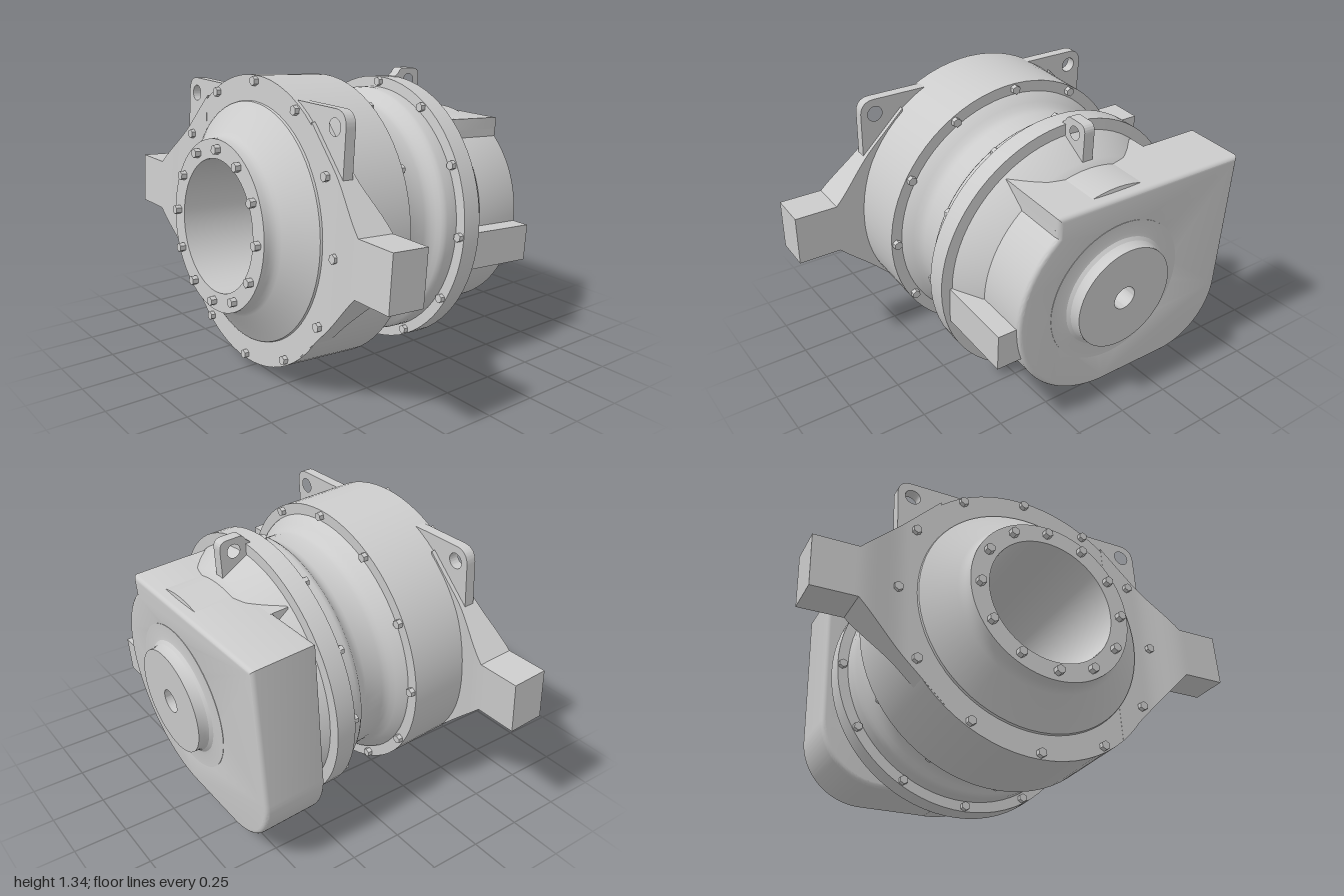
import * as THREE from 'three';
import { toCreasedNormals } from 'three/addons/utils/BufferGeometryUtils.js';

const material = new THREE.MeshStandardMaterial({ color: 0xcccccc });

function addMesh(parent, name, geometry, crease = 0.5) {
  const mesh = new THREE.Mesh(toCreasedNormals(geometry, crease), material);
  mesh.name = name;
  parent.add(mesh);
  return mesh;
}

function box(x0, x1, y0, y1, z0, z1) {
  return new THREE.BoxGeometry(x1 - x0, y1 - y0, z1 - z0)
    .translate((x0 + x1) / 2, (y0 + y1) / 2, (z0 + z1) / 2);
}

function circleHole(x, y, r) {
  return new THREE.Path().absarc(x, y, r, 0, Math.PI * 2, true);
}

// Ring of hex bolt heads around the main axis
function addBolts(parent, name, radius, z, size, height) {
  const ring = new THREE.Group();
  ring.name = name;
  for (let i = 0; i < 12; i++) {
    const a = i * Math.PI / 6;
    const head = new THREE.CylinderGeometry(size, size, height, 6).rotateX(Math.PI / 2);
    addMesh(ring, 'boltHead', head).position.set(radius * Math.sin(a), radius * Math.cos(a), z);
  }
  parent.add(ring);
}

export function createModel() {
  const model = new THREE.Group();
  model.name = 'gearHousing';
  // The main axis runs along z and is tipped up slightly at the front
  const body = new THREE.Group();
  body.name = 'tiltedBody';
  body.rotation.x = -0.0716;
  body.position.y = 0.654;
  model.add(body);

  // Turned casing: rear boss, cone, rear flange, neck, drum, nose, bore (radius, z)
  const profile = [
    [0.055, -0.718], [0.246, -0.718], [0.247, -0.69], [0.254, -0.672], [0.268, -0.66], [0.285, -0.657],
    [0.345, -0.657], [0.345, -0.63], [0.49, -0.6], [0.49, -0.42], [0.515, -0.4], [0.585, -0.273],
    [0.637, -0.271], [0.637, -0.18], [0.588, -0.178], [0.588, -0.125], [0.584, -0.11], [0.574, -0.097],
    [0.558, -0.084], [0.545, -0.068], [0.537, -0.052], [0.533, -0.035], [0.533, 0.05], [0.537, 0.068],
    [0.546, 0.085], [0.562, 0.105], [0.594, 0.138], [0.598, 0.146],
    [0.65, 0.146], [0.65, 0.514], [0.538, 0.514], [0.535, 0.525], [0.405, 0.622], [0.392, 0.635],
    [0.384, 0.65], [0.38, 0.668], [0.38, 0.69], [0.295, 0.69], [0.295, -0.55], [0.055, -0.55], [0.055, -0.718],
  ].map(([r, z]) => new THREE.Vector2(r, z));
  addMesh(body, 'turnedCasing', new THREE.LatheGeometry(profile, 72).rotateX(Math.PI / 2), 0.45);

  // Rear housing: round on one side, squared off on the other
  const rear = new THREE.Shape();
  rear.moveTo(0.335, 0.473);
  rear.lineTo(-0.645, 0.473);
  rear.lineTo(-0.645, -0.207);
  rear.absarc(-0.345, -0.207, 0.3, Math.PI, Math.PI * 1.5, false);
  rear.lineTo(0, -0.507);
  rear.absarc(0, 0, 0.508, -Math.PI / 2, 0.855, false);
  rear.closePath();
  rear.holes.push(circleHole(0, 0, 0.305));
  const rearGeometry = new THREE.ExtrudeGeometry(rear, {
    depth: 0.26, curveSegments: 32, bevelThickness: 0.02, bevelSize: 0.02, bevelOffset: -0.02, bevelSegments: 4,
  }).translate(0, 0, -0.635);
  addMesh(body, 'rearHousing', rearGeometry);
  addMesh(body, 'rearTopPad', box(-0.345, 0.334, 0.38, 0.4725, -0.63, -0.285));
  addMesh(body, 'sideMount', box(0.4, 0.595, -0.17, 0, -0.642, -0.272));

  // Support arms: tangent webs that thicken into square ends
  const arms = new THREE.Group();
  arms.name = 'supportArms';
  arms.position.y = 0.01;
  body.add(arms);
  for (const side of [1, -1]) {
    const geometry = new THREE.BoxGeometry(1, 1, 1, 29, 1, 1);
    const p = geometry.attributes.position;
    for (let i = 0; i < p.count; i++) {
      const x = 0.42 + (p.getX(i) + 0.5) * 0.58;
      const height = Math.max(0.12, 0.92 - x);
      const k = THREE.MathUtils.smoothstep(x, 0.58, 0.81);
      const z = p.getZ(i) > 0 ? 0.515 + 0.036 * k : 0.43 - 0.05 * k;
      p.setXYZ(i, x, Math.sign(p.getY(i)) * height, z);
    }
    const arm = addMesh(arms, side > 0 ? 'leftArm' : 'rightArm', geometry, 0.4);
    if (side < 0) arm.rotation.z = Math.PI;
  }

  // Front lifting lugs
  for (const side of [1, -1]) {
    const lug = new THREE.Shape();
    lug.moveTo(side * 0.25, 0.58);
    lug.lineTo(side * 0.55, 0.58);
    lug.quadraticCurveTo(side * 0.62, 0.58, side * 0.62, 0.51);
    lug.lineTo(side * 0.62, 0.29);
    lug.lineTo(side * 0.45, 0.29);
    lug.closePath();
    lug.holes.push(circleHole(side * 0.55, 0.508, 0.036));
    const geometry = new THREE.ExtrudeGeometry(lug, { depth: 0.048, bevelEnabled: false, curveSegments: 20 });
    addMesh(body, side > 0 ? 'leftLug' : 'rightLug', geometry.translate(0, 0, 0.449));
  }

  // Rear lifting lug, drawn in the z-y plane (shape x = -z)
  const lug = new THREE.Shape();
  lug.moveTo(0.25, 0.5);
  lug.lineTo(0.25, 0.64);
  lug.lineTo(0.268, 0.655);
  lug.quadraticCurveTo(0.278, 0.68, 0.3, 0.68);
  lug.lineTo(0.36, 0.68);
  lug.quadraticCurveTo(0.398, 0.68, 0.398, 0.64);
  lug.lineTo(0.4, 0.5);
  lug.closePath();
  lug.holes.push(circleHole(0.333, 0.622, 0.031));
  const rearLug = new THREE.ExtrudeGeometry(lug, { depth: 0.052, bevelEnabled: false, curveSegments: 20 })
    .translate(0, 0, -0.026).rotateY(Math.PI / 2);
  addMesh(body, 'rearLug', rearLug);

  // Bolt rings
  addBolts(body, 'noseBolts', 0.338, 0.7, 0.021, 0.034);
  addBolts(body, 'drumFrontBolts', 0.625, 0.52, 0.021, 0.03);
  addBolts(body, 'drumRearBolts', 0.625, 0.139, 0.021, 0.03);
  addBolts(body, 'rearFlangeBolts', 0.615, -0.173, 0.021, 0.03);

  return model;
}
